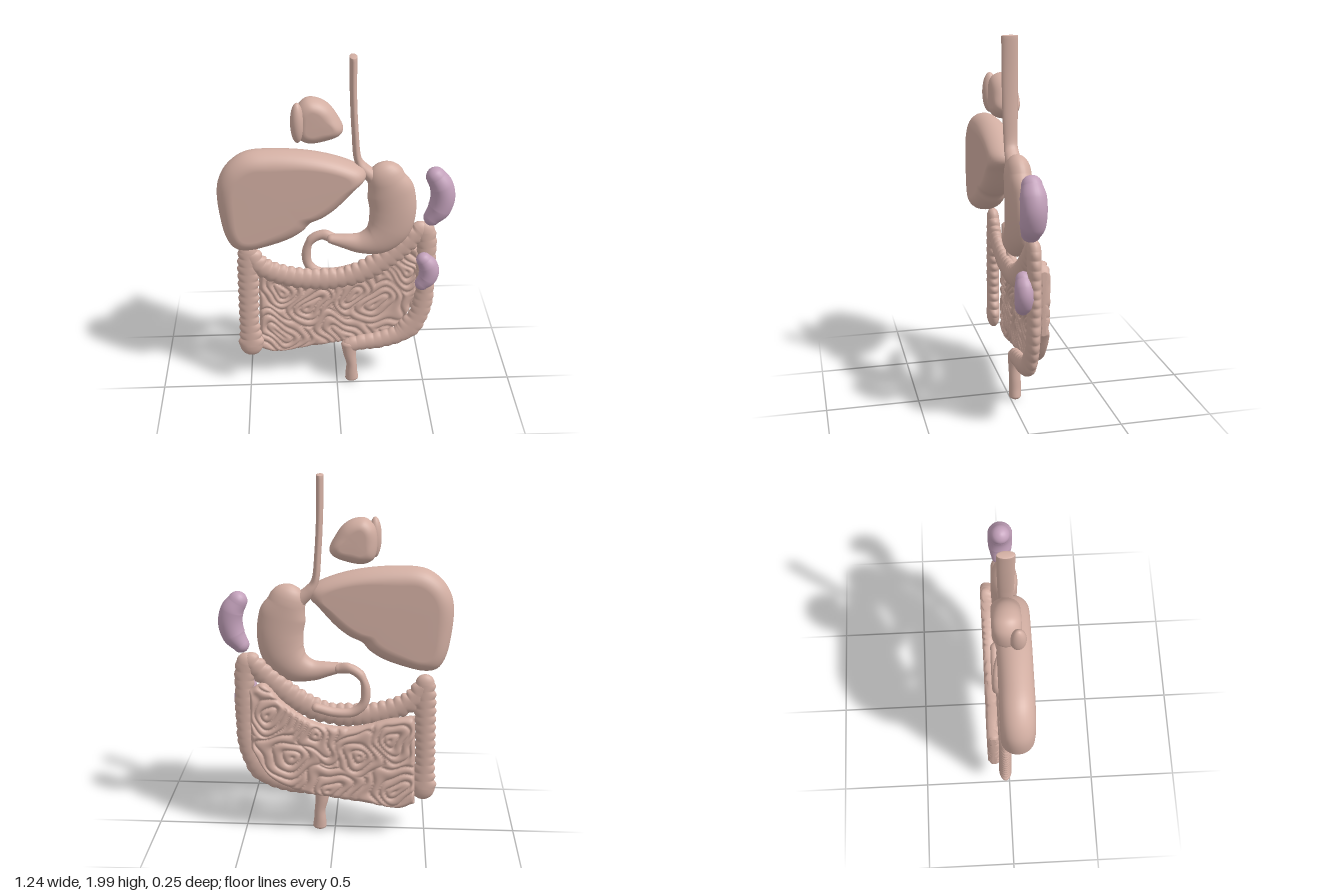
import * as THREE from 'three';

const tissue = new THREE.MeshStandardMaterial({ color: 0xd3afa3 });
tissue.name = 'tissue pink';
const mauve = new THREE.MeshStandardMaterial({ color: 0xc3a1bb });
mauve.name = 'mauve';

const V = (x, y, z = 0) => new THREE.Vector3(x, y, z);
const spline = (pts, closed = false) => new THREE.CatmullRomCurve3(pts, closed);

// Skin over a row of closed rings, capped at both ends
function loft(rings) {
  const n = rings[0].length, pos = [], idx = [];
  const centre = (r) => r.reduce((s, p) => s.add(p), V(0, 0)).divideScalar(n);
  rings.flat().concat(centre(rings[0]), centre(rings.at(-1))).forEach((p) => pos.push(p.x, p.y, p.z));
  const first = rings.length * n, last = (rings.length - 1) * n;
  for (let j = 0; j < n; j++) {
    const k = (j + 1) % n;
    for (let a = 0; a < last; a += n) {
      idx.push(a + j, a + k, a + n + j, a + k, a + n + k, a + n + j);
    }
    idx.push(first, k, j, first + 1, last + j, last + k);
  }
  const g = new THREE.BufferGeometry();
  g.setAttribute('position', new THREE.Float32BufferAttribute(pos, 3));
  g.setIndex(idx);
  g.computeVertexNormals();
  return g;
}

// Tube through [x, y, z, half width, half depth] stations, with rounded ends and optional bulges
function sweep(stations, { steps = 60, sides = 20, bulge = 0, spacing = 0.048, round = 1 } = {}) {
  const path = spline(stations.map((s) => V(s[0], s[1], s[2])));
  const size = spline(stations.map((s) => V(s[3], s[4])));
  const rings = [];
  let length = 0, before = null;
  const ring = (t, push, scale) => {
    const c = path.getPoint(t), T = path.getTangent(t).setZ(0).normalize(), r = size.getPoint(t);
    if (before) length += c.distanceTo(before);
    before = c.clone();
    const w = (r.x + bulge * (Math.abs(Math.sin(Math.PI * length / spacing)) - 0.6)) * scale;
    c.addScaledVector(T, push * r.x * round);
    rings.push(Array.from({ length: sides }, (_, i) => {
      const a = i / sides * Math.PI * 2, x = Math.cos(a) * w;
      return V(c.x - T.y * x, c.y + T.x * x, c.z + Math.sin(a) * r.y * scale);
    }));
  };
  const caps = [80, 65, 50, 35, 18].map((d) => d * Math.PI / 180);
  caps.forEach((a) => ring(0, -Math.sin(a), Math.cos(a)));
  for (let i = 0; i <= steps; i++) ring(i / steps, 0, 1);
  caps.reverse().forEach((a) => ring(1, Math.sin(a), Math.cos(a)));
  return loft(rings);
}

// Flat-faced cushion with rounded rim; outline runs counterclockwise
function cushion(outline, cx, cy, z0, z1, rim) {
  const edge = spline(outline.map((p) => V(p[0], p[1])), true).getPoints(96).slice(0, -1);
  const rings = [];
  for (let i = 0; i <= 18; i++) {
    const a = (i / 18 - 0.5) * Math.PI;
    const z = (z0 + z1) / 2 + Math.sin(a) * (z1 - z0) / 2;
    rings.push(edge.map((p) => {
      const d = V(p.x - cx, p.y - cy), len = d.length();
      return d.multiplyScalar((len - rim * (1 - Math.cos(a))) / len).add(V(cx, cy, z));
    }));
  }
  return loft(rings);
}

// Sheet of coiled loops: ridges ring several centres, on both faces
function coils() {
  const top = spline([[-0.43, 0.74], [-0.3, 0.72], [-0.1, 0.67], [0.1, 0.69], [0.27, 0.8], [0.38, 0.91], [0.45, 0.87]].map((p) => V(...p)));
  const bottom = spline([[-0.44, 0.22], [-0.36, 0.19], [-0.15, 0.22], [0.05, 0.25], [0.2, 0.28], [0.35, 0.36], [0.45, 0.53]].map((p) => V(...p)));
  const hubs = [[-0.33, 0.63], [-0.34, 0.33], [-0.13, 0.5], [0.02, 0.32], [0.08, 0.6], [0.24, 0.5], [0.37, 0.76]];
  const ridge = (x, y, side) => {
    const u = x + 0.03 * Math.sin(y * 17 + side) + 0.012 * Math.sin(y * 41);
    const v = y + 0.03 * Math.sin(x * 19 + side * 2) + 0.012 * Math.sin(x * 37);
    const d = Math.min(...hubs.map(([a, b], i) => Math.hypot((u - a) * (i % 2 ? 0.85 : 1.1), v - b)));
    const s = ((d / 0.045) % 1) * 2 - 1;
    return 0.45 + 0.55 * Math.sqrt(1 - 0.97 * s * s);
  };
  const cols = 150, rows = 96, rings = [];
  for (let i = 0; i <= cols; i++) {
    const u = i / cols, a = top.getPoint(u), b = bottom.getPoint(u), h = a.distanceTo(b);
    const ring = [];
    for (let j = 0; j < rows * 2; j++) {
      const front = j < rows, v = front ? j / rows : 2 - j / rows;
      const p = a.clone().lerp(b, v);
      const gap = Math.min(v * h, (1 - v) * h, u * 0.88 + 0.002, (1 - u) * 0.88 + 0.002);
      const q = 1 - Math.min(1, gap / 0.035);
      const t = 0.036 * Math.sqrt(1 - q * q) * ridge(p.x, p.y, front ? 0 : 1);
      ring.push(p.setZ(-0.088 + (front ? t : -t)));
    }
    rings.push(ring);
  }
  return loft(rings);
}

export function createModel() {
  const model = new THREE.Group();
  const add = (name, geometry, material = tissue) => {
    const mesh = new THREE.Mesh(geometry, material);
    mesh.name = name;
    model.add(mesh);
    return mesh;
  };

  // Upper organs
  add('gullet', sweep([
    [0.078, 1.995, 0.005, 0.02, 0.043], [0.08, 1.8, 0.005, 0.018, 0.042], [0.09, 1.6, 0.005, 0.018, 0.04],
    [0.105, 1.45, 0.005, 0.02, 0.036], [0.13, 1.4, 0.005, 0.03, 0.04], [0.19, 1.34, 0.005, 0.04, 0.04],
  ], { round: 0.2 }));
  add('liver', cushion([
    [-0.62, 1.3], [-0.612, 1.16], [-0.585, 1.03], [-0.545, 0.97], [-0.48, 0.955], [-0.36, 0.98], [-0.25, 1.02],
    [-0.18, 1.065], [-0.14, 1.11], [-0.07, 1.145], [0.0, 1.2], [0.09, 1.3], [0.145, 1.365], [0.135, 1.405],
    [0.05, 1.455], [-0.12, 1.505], [-0.33, 1.525], [-0.47, 1.512], [-0.555, 1.455], [-0.603, 1.38],
  ], -0.34, 1.27, -0.05, 0.122, 0.085));
  add('stomach', sweep([
    [0.255, 1.33, 0.005, 0.1, 0.068], [0.28, 1.25, 0.005, 0.125, 0.07], [0.293, 1.15, 0.005, 0.124, 0.07],
    [0.275, 1.05, 0.005, 0.118, 0.068], [0.215, 0.98, 0.005, 0.096, 0.062], [0.13, 0.953, 0.005, 0.06, 0.052],
    [0.04, 0.963, 0, 0.04, 0.04], [-0.03, 0.975, -0.005, 0.026, 0.03],
  ], { sides: 32 }));
  add('upperLobe', cushion([
    [-0.2, 1.74], [-0.215, 1.66], [-0.2, 1.575], [-0.15, 1.546], [-0.06, 1.556], [0.015, 1.588], [0.03, 1.62],
    [0.0, 1.69], [-0.045, 1.75], [-0.1, 1.78], [-0.155, 1.782],
  ], -0.1, 1.665, -0.073, 0.068, 0.06));
  add('smallPouch', new THREE.SphereGeometry(1, 28, 20).scale(0.034, 0.106, 0.04)).position.set(-0.202, 1.672, 0.049);

  // Thin loop leaving the stomach and curling behind
  add('duodenum', sweep([
    [-0.02, 0.973, -0.02, 0.026, 0.026], [-0.08, 0.982, -0.04, 0.026, 0.026], [-0.14, 0.945, -0.05, 0.025, 0.026],
    [-0.165, 0.87, -0.053, 0.025, 0.026], [-0.155, 0.79, -0.055, 0.025, 0.026], [-0.1, 0.74, -0.056, 0.025, 0.026],
    [0, 0.735, -0.056, 0.025, 0.026], [0.1, 0.76, -0.055, 0.025, 0.026],
  ]));

  // Large bowel frame
  add('ascendingColon', sweep([
    [-0.487, 0.285, -0.025, 0.073, 0.037], [-0.488, 0.34, -0.025, 0.062, 0.036], [-0.492, 0.45, -0.025, 0.053, 0.035],
    [-0.487, 0.65, -0.025, 0.055, 0.035], [-0.482, 0.8, -0.025, 0.058, 0.035], [-0.48, 0.9, -0.025, 0.052, 0.034],
  ], { steps: 150, bulge: 0.011 }));
  add('transverseColon', sweep([
    [-0.47, 0.88, -0.025, 0.05, 0.034], [-0.41, 0.8, -0.025, 0.056, 0.035], [-0.27, 0.735, -0.025, 0.06, 0.035],
    [-0.1, 0.71, -0.025, 0.062, 0.035], [0.06, 0.725, -0.025, 0.062, 0.035], [0.2, 0.79, -0.025, 0.064, 0.035],
    [0.33, 0.89, -0.025, 0.062, 0.035], [0.45, 1.005, -0.025, 0.052, 0.034],
  ], { steps: 240, bulge: 0.012 }));
  add('descendingColon', sweep([
    [0.475, 1.0, -0.025, 0.056, 0.035], [0.487, 0.9, -0.025, 0.055, 0.035], [0.488, 0.75, -0.025, 0.055, 0.035],
    [0.484, 0.58, -0.025, 0.055, 0.035], [0.45, 0.44, -0.025, 0.056, 0.035], [0.37, 0.34, -0.025, 0.056, 0.035],
    [0.25, 0.292, -0.025, 0.052, 0.035], [0.15, 0.277, -0.025, 0.048, 0.034], [0.075, 0.262, -0.025, 0.045, 0.033],
  ], { steps: 240, bulge: 0.006 }));
  add('rectum', sweep([
    [0.068, 0.27, -0.025, 0.045, 0.034], [0.073, 0.2, -0.025, 0.036, 0.034], [0.084, 0.13, -0.025, 0.03, 0.032],
    [0.084, 0.07, -0.025, 0.034, 0.033], [0.086, 0.03, -0.025, 0.038, 0.033],
  ], { round: 0.5 }));
  add('smallIntestine', coils());

  // Bean-shaped organs
  add('upperBean', sweep([
    [0.513, 1.335, -0.003, 0.052, 0.052], [0.543, 1.285, -0.003, 0.062, 0.065], [0.555, 1.22, -0.003, 0.065, 0.066],
    [0.54, 1.15, -0.003, 0.062, 0.064], [0.503, 1.095, -0.003, 0.045, 0.05],
  ], { sides: 28 }), mauve);
  add('lowerBean', sweep([
    [0.468, 0.848, 0.025, 0.042, 0.04], [0.49, 0.815, 0.025, 0.052, 0.049], [0.499, 0.775, 0.025, 0.055, 0.05],
    [0.49, 0.735, 0.025, 0.052, 0.049], [0.464, 0.7, 0.025, 0.04, 0.04],
  ], { sides: 28 }), mauve);

  return model;
}
